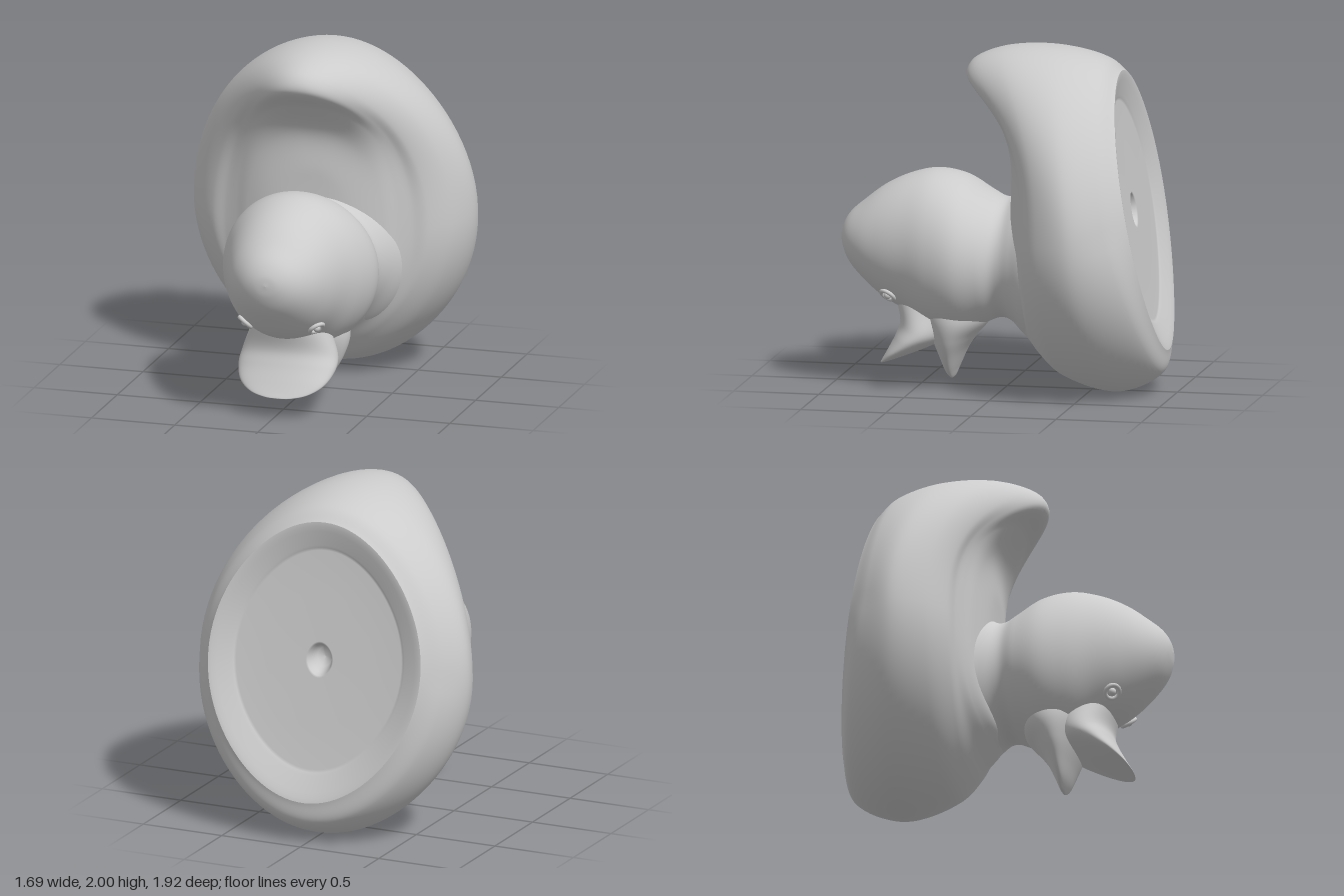
import * as THREE from 'three';

const material = new THREE.MeshStandardMaterial({ color: 0xcccccc });

// One point of a cross-section [zA, yA, zB, yB, halfWidth, zSide, ySide, power, roundness]:
// A and B are the opposite ends of the loop, the sides may be swept in z,
// and a roundness below 1 squares the loop off.
function loopPoint(section, angle, cx, pinch) {
  const [zA, yA, zB, yB, w, zSide = (zA + zB) / 2, ySide = (yA + yB) / 2, power = 1, round = 1] = section;
  const c = Math.cos(angle), s = Math.sin(angle), t = Math.abs(s);
  const x = cx + w * Math.sign(c) * Math.pow(Math.abs(c), round) * (1 - pinch * s * s);
  const y = ySide + ((s > 0 ? yA : yB) - ySide) * Math.pow(t, round);
  const z = zSide + ((s > 0 ? zA : zB) - zSide) * Math.pow(t, power);
  // The base is turned slightly to one side
  return new THREE.Vector3(x, y, z + 0.15 * x * Math.min(0, z + 0.5));
}

// Skin through cross-sections, with splines (or straight lines) between them
function loft(name, sections, { cx = 0, pinch = 0, around = 96, along = 64, straight = false } = {}) {
  const positions = [], indices = [];
  const rows = straight ? sections.length - 1 : along;
  for (let j = 0; j < around; j++) {
    const angle = (j / around) * Math.PI * 2;
    const points = sections.map((s) => loopPoint(s, angle, cx, pinch));
    const curve = new THREE.CatmullRomCurve3(points);
    for (let i = 0; i <= rows; i++) {
      const p = straight ? points[i] : curve.getPoint(i / rows);
      positions.push(p.x, p.y, p.z);
    }
  }
  const at = (i, j) => (j % around) * (rows + 1) + i;
  for (let j = 0; j < around; j++) {
    for (let i = 0; i < rows; i++) {
      indices.push(at(i, j), at(i, j + 1), at(i + 1, j));
      indices.push(at(i + 1, j), at(i, j + 1), at(i + 1, j + 1));
    }
  }
  const geometry = new THREE.BufferGeometry();
  geometry.setAttribute('position', new THREE.Float32BufferAttribute(positions, 3));
  geometry.setIndex(indices);
  geometry.computeVertexNormals();
  const mesh = new THREE.Mesh(geometry, material);
  mesh.name = name;
  return mesh;
}

export function createModel() {
  const group = new THREE.Group();
  group.name = 'bathDuck';

  // Body: from the flat base rim, over the fullest girth and tail tip, to the back
  const rim = [-0.67, 1.86, -0.955, 0.25, 0.66];
  const pinch = 0.1;
  group.add(loft('body', [
    rim,
    [-0.58, 1.93, -0.925, 0.12, 0.765, -0.7, 1.0, 1],
    [-0.3, 1.995, -0.68, 0.0, 0.845, -0.52, 0.96, 1.5],
    [0.02, 1.98, -0.36, 0.08, 0.77, -0.33, 0.95, 2.2],
    [0.2, 1.9, -0.24, 0.18, 0.65, -0.22, 0.93, 2.8],
    [0.23, 1.82, -0.16, 0.28, 0.56, -0.19, 0.9, 3.2, 0.9],
    [0.08, 1.68, -0.09, 0.36, 0.49, -0.16, 0.9, 2.8, 0.75],
    [-0.05, 1.5, -0.04, 0.42, 0.41, -0.12, 0.9, 2, 0.75],
    [-0.06, 1.25, -0.03, 0.5, 0.24, -0.07, 0.9, 2, 0.9],
    [-0.06, 0.9, -0.06, 0.9, 0, -0.06, 0.9, 1],
  ], { pinch, along: 100 }));

  // Recessed base: [scale, depth] from the centre hole out to the rim
  const dish = [[0, 0.15], [0.07, 0.14], [0.1, 0.1], [0.115, 0.07], [0.13, 0.065],
    [0.5, 0.065], [0.78, 0.06], [0.8, 0.055], [0.82, 0.045], [0.93, 0.015], [0.97, 0.003], [1, 0]];
  const zMid = (rim[0] + rim[2]) / 2, yMid = (rim[1] + rim[3]) / 2;
  group.add(loft('base', dish.map(([k, d]) => [
    zMid + (rim[0] - zMid) * k + d, yMid + (rim[1] - yMid) * k,
    zMid + (rim[2] - zMid) * k + d, yMid + (rim[3] - yMid) * k, rim[4] * k,
  ]), { pinch, straight: true }));

  // Head, with a neck that flares into the breast
  const cx = 0.03;
  group.add(loft('head', [
    [-0.34, 1.2, -0.36, 0.2, 0.52, -0.34, 0.74],
    [-0.2, 1.18, -0.2, 0.27, 0.49, -0.2, 0.74],
    [-0.1, 1.14, -0.1, 0.36, 0.42],
    [-0.03, 1.105, -0.03, 0.405, 0.38],
    [0.02, 1.11, 0.02, 0.41, 0.375],
    [0.1, 1.15, 0.1, 0.38, 0.415],
    [0.24, 1.23, 0.24, 0.32, 0.455],
    [0.4, 1.26, 0.4, 0.34, 0.425],
    [0.55, 1.23, 0.55, 0.42, 0.365],
    [0.7, 1.16, 0.7, 0.5, 0.305],
    [0.82, 1.07, 0.82, 0.6, 0.24],
    [0.91, 0.99, 0.91, 0.7, 0.155],
    [0.95, 0.92, 0.95, 0.79, 0.075],
    [0.96, 0.86, 0.96, 0.86, 0],
  ], { cx, along: 80 }));

  // Open bill
  group.add(loft('upperBill', [
    [0.64, 0.52, 0.25, 0.4, 0.24],
    [0.61, 0.38, 0.32, 0.29, 0.285],
    [0.635, 0.3, 0.42, 0.235, 0.29],
    [0.68, 0.21, 0.57, 0.175, 0.25],
    [0.71, 0.155, 0.67, 0.14, 0.17],
    [0.725, 0.13, 0.715, 0.125, 0.07],
    [0.725, 0.125, 0.725, 0.125, 0],
  ], { cx, around: 64, along: 40 }));
  group.add(loft('lowerBill', [
    [0.5, 0.62, 0.06, 0.62, 0.26],
    [0.47, 0.42, 0.09, 0.4, 0.3],
    [0.42, 0.28, 0.17, 0.3, 0.27],
    [0.38, 0.18, 0.225, 0.22, 0.22],
    [0.345, 0.09, 0.275, 0.11, 0.14],
    [0.32, 0.05, 0.3, 0.05, 0.06],
    [0.31, 0.045, 0.31, 0.045, 0],
  ], { cx, around: 64, along: 40 }));

  // Eyes: a small ring around a bead, set on the cheeks
  for (const side of [-1, 1]) {
    const eye = new THREE.Group();
    eye.name = side > 0 ? 'leftEye' : 'rightEye';
    eye.add(
      new THREE.Mesh(new THREE.TorusGeometry(0.042, 0.012, 12, 32), material),
      new THREE.Mesh(new THREE.SphereGeometry(0.022, 20, 14), material)
    );
    eye.children[0].name = 'eyeRing';
    eye.children[1].name = 'eyeBead';
    eye.position.set(cx + side * 0.215, 0.545, 0.65);
    eye.lookAt(eye.position.x + side * 0.6, 0.545 - 0.75, 0.65 + 0.4);
    group.add(eye);
  }

  return group;
}
